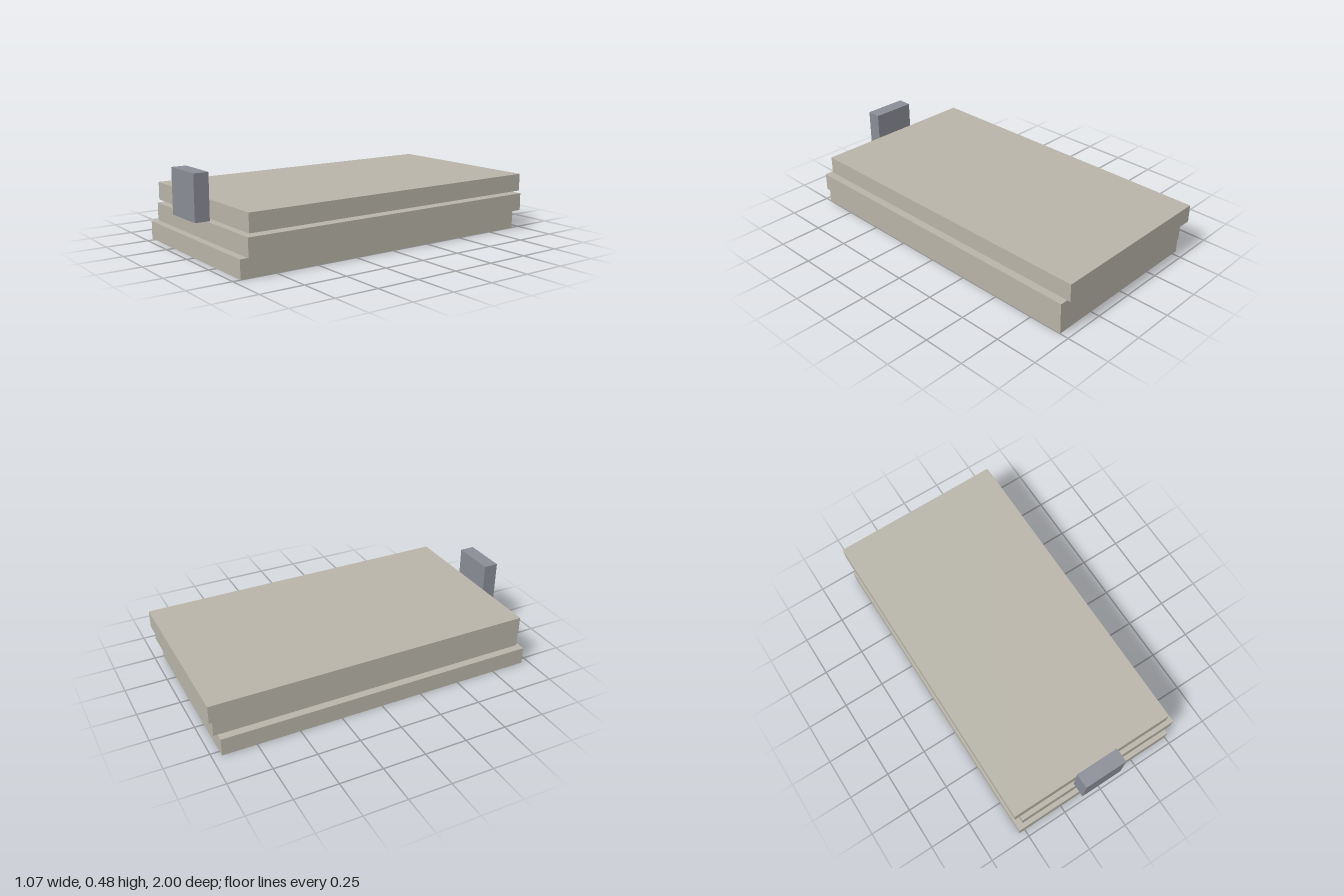
import * as THREE from 'three';

export function createModel() {
  const model = new THREE.Group();
  model.name = 'slabStack';

  const stone = new THREE.MeshStandardMaterial({ color: 0xb8b4a8 });
  stone.name = 'paleStone';
  const slate = new THREE.MeshStandardMaterial({ color: 0x8a8d96 });
  slate.name = 'slateGrey';

  // Adds a box resting with its underside at the given height
  function addBox(name, material, [w, h, d], [x, bottom, z]) {
    const mesh = new THREE.Mesh(new THREE.BoxGeometry(w, h, d), material);
    mesh.name = name;
    mesh.position.set(x, bottom + h / 2, z);
    model.add(mesh);
  }

  // Three equal slabs, shifted alternately sideways and steadily backwards
  const slabSize = [1.036, 0.104, 1.904];
  const spacing = 0.1127;
  ['bottomSlab', 'middleSlab', 'topSlab'].forEach((name, i) => {
    const x = i % 2 ? 0.017 : -0.019;
    addBox(name, stone, slabSize, [x, i * spacing, 0.005 - i * 0.0265]);
  });

  // Upright marker block standing at the front
  addBox('frontBlock', slate, [0.26, 0.26, 0.086], [-0.019, 0.217, 0.957]);

  return model;
}
